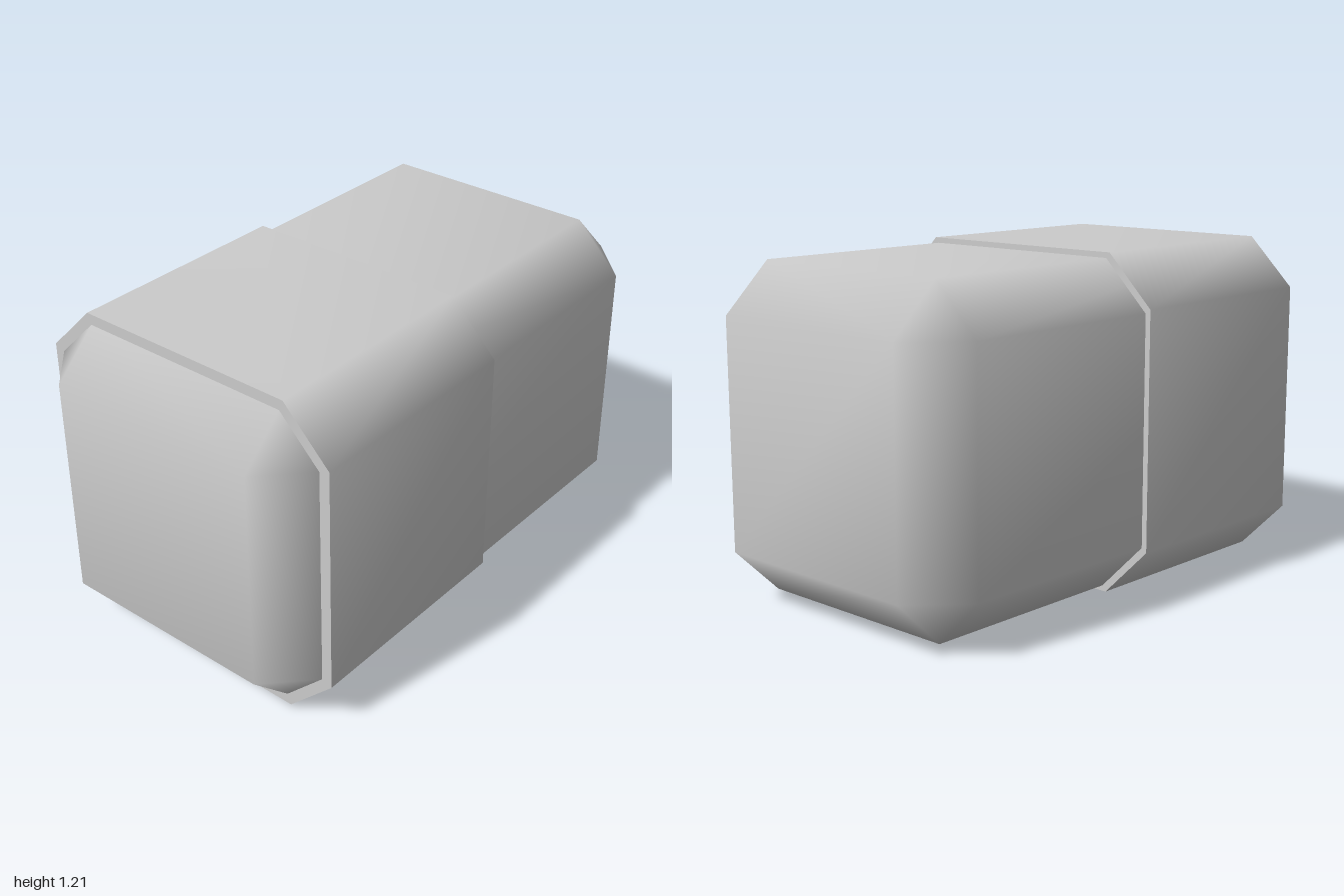
import * as THREE from 'three';
import { ConvexGeometry } from 'three/addons/geometries/ConvexGeometry.js';
import { mergeVertices, mergeGeometries } from 'three/addons/utils/BufferGeometryUtils.js';

const CENTRE_Y = 0.605;

// Box with one flat chamfer on every edge, shaded smoothly across the chamfers
function chamferedBox(half, flat) {
  const points = [];
  for (const sx of [-1, 1]) for (const sy of [-1, 1]) for (const sz of [-1, 1]) {
    const s = new THREE.Vector3(sx, sy, sz);
    for (const axis of ['x', 'y', 'z']) {
      const p = flat.clone();
      p[axis] = half[axis];
      points.push(p.multiply(s));
    }
  }
  const hull = new ConvexGeometry(points);
  hull.deleteAttribute('normal');
  const geometry = mergeVertices(hull, 1e-4);
  geometry.computeVertexNormals();
  return geometry;
}

// Eight-cornered ring around the x axis
function octagon(x, half, flat) {
  const corners = [[half, -flat], [half, flat], [flat, half], [-flat, half],
    [-half, flat], [-half, -flat], [-flat, -half], [flat, -half]];
  return corners.map(([y, z]) => new THREE.Vector3(x, y, z));
}

// Strip of faces joining two rings
function band(a, b) {
  const n = a.length, index = [];
  for (let i = 0; i < n; i++) {
    const j = (i + 1) % n;
    index.push(i, j, n + i, j, n + j, n + i);
  }
  const geometry = new THREE.BufferGeometry().setFromPoints([...a, ...b]);
  geometry.setIndex(index);
  geometry.computeVertexNormals();
  return geometry;
}

export function createModel() {
  const group = new THREE.Group();
  const material = new THREE.MeshStandardMaterial({ color: 0xcccccc });
  const add = (name, geometry) => {
    const mesh = new THREE.Mesh(geometry, material);
    mesh.name = name;
    mesh.position.y = CENTRE_Y;
    group.add(mesh);
  };

  // Main block
  add('body', chamferedBox(new THREE.Vector3(1, 0.585, 0.585), new THREE.Vector3(0.82, 0.41, 0.41)));

  // Thin sleeve around one half: left rim, outer wall, right rim
  const rings = [octagon(-0.84, 0.56, 0.41), octagon(-0.84, 0.605, 0.425),
    octagon(0.01, 0.605, 0.425), octagon(0.01, 0.56, 0.41)];
  add('sleeve', mergeGeometries([0, 1, 2].map((i) => band(rings[i], rings[i + 1]))));

  return group;
}
